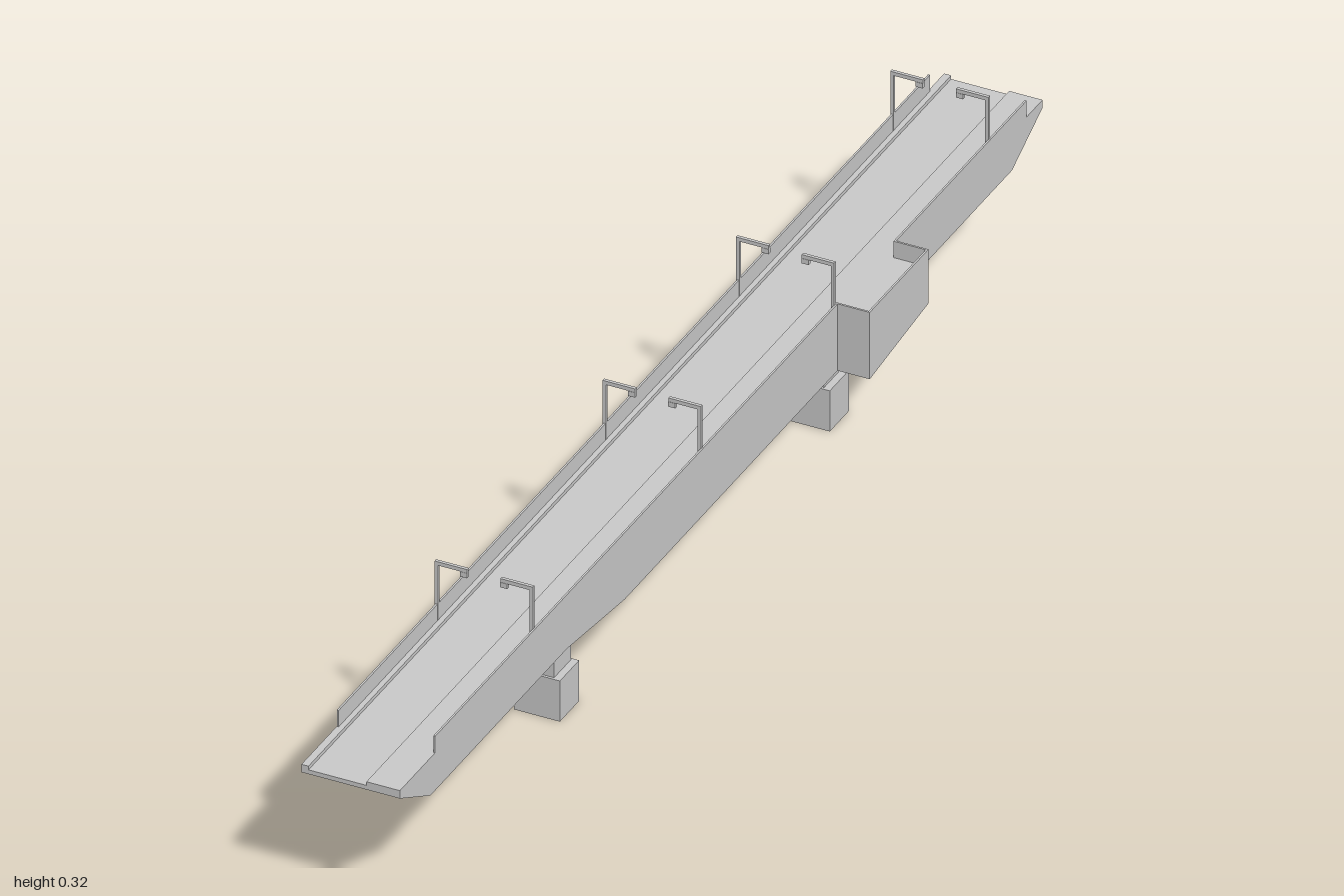
import * as THREE from 'three';

const material = new THREE.MeshStandardMaterial({ color: 0xcccccc, flatShading: true });

// Key levels and widths
const X0 = -0.101, X1 = 0.052, XBAY = 0.102;
const ROAD = 0.222, WALK = 0.228, RAIL = 0.255, CEILING = 0.205;
const BAY = [-0.545, -0.362];
const WALL = 0.003;

function add(parent, name, geometry) {
  const mesh = new THREE.Mesh(geometry, material);
  mesh.name = name;
  parent.add(mesh);
  return mesh;
}

// Box given by its limits
function box(parent, name, [x0, x1], [y0, y1], [z0, z1]) {
  const g = new THREE.BoxGeometry(x1 - x0, y1 - y0, z1 - z0);
  g.translate((x0 + x1) / 2, (y0 + y1) / 2, (z0 + z1) / 2);
  return add(parent, name, g);
}

// Side profile of [z, y] points, extruded from x0 to x1
function profile(parent, name, points, x0, x1) {
  const shape = new THREE.Shape(points.map(([z, y]) => new THREE.Vector2(-z, y)));
  const g = new THREE.ExtrudeGeometry(shape, { depth: x1 - x0, bevelEnabled: false });
  g.rotateY(Math.PI / 2);
  g.translate(x0, 0, 0);
  return add(parent, name, g);
}

export function createModel() {
  const bridge = new THREE.Group();
  bridge.name = 'bridge';

  // Deck: two deep girders with a slab between them that leaves a channel below
  const deck = new THREE.Group();
  deck.name = 'deck';
  bridge.add(deck);
  const girder = [
    [1, ROAD], [1, 0.215], [0.905, 0.166], [0.48, 0.166], [0.3, 0.145],
    [-0.36, 0.145], [-0.54, 0.166], [-0.905, 0.166], [-1, 0.215], [-1, ROAD],
  ];
  const slab = [
    [1, ROAD], [1, 0.215], [0.905, 0.166], [0.81, 0.166], [0.81, CEILING],
    [-0.86, CEILING], [-0.86, 0.166], [-0.905, 0.166], [-1, 0.215], [-1, ROAD],
  ];
  profile(deck, 'leftGirder', girder, 0, X1);
  profile(deck, 'rightGirder', girder, X0, -0.05);
  profile(deck, 'roadSlab', slab, -0.05, 0);

  // Raised walkway and kerb
  box(deck, 'walkway', [0, X1], [ROAD, WALK], [-1, 1]);
  box(deck, 'kerb', [X0, -0.09], [ROAD, WALK], [-1, 1]);

  // Lookout bay beside the walkway
  profile(deck, 'lookoutBay', [
    [BAY[1], WALK], [BAY[1], 0.145], [BAY[0], 0.166], [BAY[0], WALK],
  ], X1, XBAY);

  // Parapets, stepping out round the bay
  const parapets = new THREE.Group();
  parapets.name = 'parapets';
  bridge.add(parapets);
  const height = [WALK, RAIL];
  box(parapets, 'rightParapet', [X0, X0 + WALL], height, [-0.95, 0.89]);
  box(parapets, 'leftFrontParapet', [X1 - WALL, X1], height, [BAY[1], 0.89]);
  box(parapets, 'leftBackParapet', [X1 - WALL, X1], height, [-0.95, BAY[0]]);
  box(parapets, 'bayOuterParapet', [XBAY - WALL, XBAY], height, BAY);
  box(parapets, 'bayFrontParapet', [X1 - WALL, XBAY - WALL], height, [BAY[1] - WALL, BAY[1]]);
  box(parapets, 'bayBackParapet', [X1 - WALL, XBAY - WALL], height, [BAY[0], BAY[0] + WALL]);

  // Piers: square footing, narrow neck and a head that flares into the deck
  for (const side of [1, -1]) {
    const pier = new THREE.Group();
    pier.name = side > 0 ? 'frontPier' : 'backPier';
    bridge.add(pier);
    const z = side > 0 ? 0.39 : -0.45;
    box(pier, 'footing', [-0.06, 0.011], [0, 0.067], [z - 0.03, z + 0.03]);
    const outer = 0.09, low = 0.145, high = 0.166;
    profile(pier, 'flaredHead', [
      [z - 0.026, 0.06], [z + 0.026, 0.06], [z + 0.026, 0.097],
      [z + outer, side > 0 ? high : low], [z + outer, CEILING],
      [z - outer, CEILING], [z - outer, side > 0 ? low : high], [z - 0.026, 0.097],
    ], -0.05, 0);
  }

  // Street lamps in facing pairs
  for (const z of [0.58, 0.057, -0.358, -0.838]) {
    for (const dir of [1, -1]) {
      const lamp = new THREE.Group();
      lamp.name = dir > 0 ? 'rightLamp' : 'leftLamp';
      lamp.position.set(dir > 0 ? -0.1 : 0.0475, 0, z);
      if (dir < 0) lamp.rotation.y = Math.PI;
      bridge.add(lamp);
      const t = 0.0025;
      box(lamp, 'post', [-t, t], [ROAD, 0.32], [-t, t]);
      box(lamp, 'arm', [-t, 0.048], [0.319, 0.325], [-t, t]);
      box(lamp, 'head', [0.037, 0.048], [0.311, 0.319], [-0.003, 0.003]);
    }
  }
  return bridge;
}
